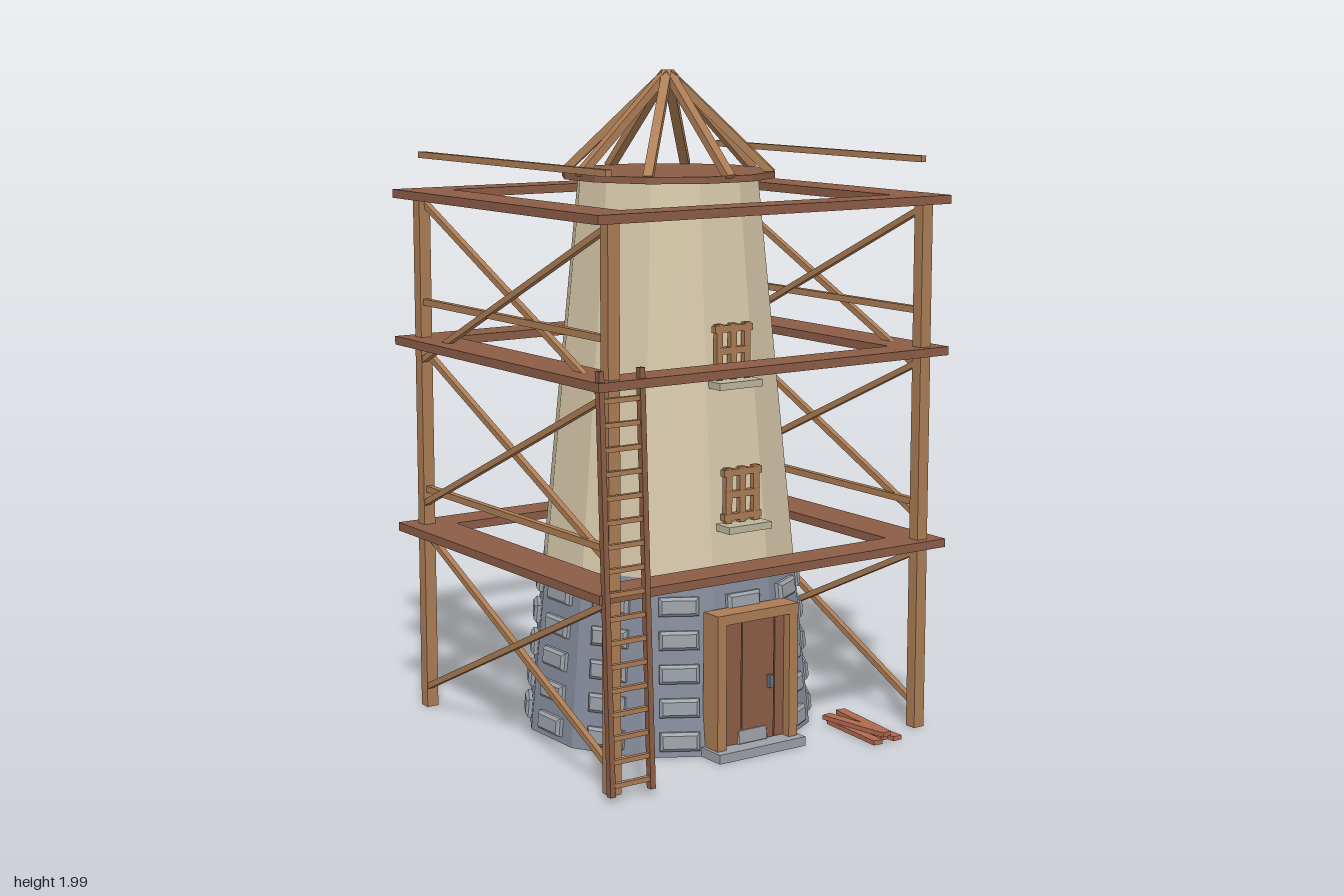
import * as THREE from 'three';

const mat = (name, color, extra = {}) => {
  const m = new THREE.MeshStandardMaterial({ color, ...extra });
  m.name = name;
  return m;
};

export function createModel() {
  const model = new THREE.Group();
  model.name = 'towerWithScaffold';

  const cream = mat('creamPlaster', 0xd5c7a8, { side: THREE.DoubleSide });
  const slate = mat('slateWall', 0x858c9c, { side: THREE.DoubleSide });
  const stone = mat('paleStone', 0x9a9fa6);
  const brown = mat('brownPlank', 0x8a5c45);
  const tan = mat('tanTimber', 0xab7c54);
  const red = mat('redPlank', 0xb0694e);
  const sillMat = mat('sillStone', 0xbcb59c);
  const iron = mat('iron', 0x6c727c);

  const add = (parent, name, geo, material, x = 0, y = 0, z = 0) => {
    const mesh = new THREE.Mesh(geo, material);
    mesh.name = name;
    mesh.position.set(x, y, z);
    parent.add(mesh);
    return mesh;
  };
  // Box given by its limits on each axis
  const block = (parent, name, material, x0, x1, y0, y1, z0, z1) =>
    add(parent, name, new THREE.BoxGeometry(x1 - x0, y1 - y0, z1 - z0), material,
      (x0 + x1) / 2, (y0 + y1) / 2, (z0 + z1) / 2);
  // Square timber running between two points
  const beam = (parent, name, material, a, b, w, h = w) => {
    const p = new THREE.Vector3(...a), q = new THREE.Vector3(...b);
    const mesh = new THREE.Mesh(new THREE.BoxGeometry(w, h, p.distanceTo(q)), material);
    mesh.name = name;
    mesh.position.copy(p).lerp(q, 0.5);
    mesh.lookAt(q);
    parent.add(mesh);
    return mesh;
  };
  const group = (name, parent = model) => {
    const g = new THREE.Group();
    g.name = name;
    parent.add(g);
    return g;
  };

  // Twelve-sided tapering tower
  const SIDES = 12, APOTHEM = Math.cos(Math.PI / SIDES);
  const radius = (y) => 0.443 - 0.1 * y;
  const tower = group('tower');
  tower.position.z = -0.025;
  const prism = (name, material, r1, r0, y0, y1, open) => {
    const geo = new THREE.CylinderGeometry(r1, r0, y1 - y0, SIDES, 1, open, Math.PI / SIDES).toNonIndexed();
    geo.computeVertexNormals();
    return add(tower, name, geo, material, 0, (y0 + y1) / 2, 0);
  };
  prism('stoneBase', slate, radius(0.53), radius(0), 0, 0.53, true);
  prism('plasterWall', cream, radius(1.68), radius(0.53), 0.53, 1.68, true);
  prism('roofDeck', brown, 0.325, 0.325, 1.675, 1.695, false);

  // Roof rafters meeting at the peak
  for (let i = 0; i < 8; i++) {
    const a = (i * Math.PI) / 4, s = Math.sin(a), c = Math.cos(a);
    beam(tower, 'rafter', tan, [0.316 * s, 1.69, 0.316 * c], [0.005 * s, 1.985, 0.005 * c], 0.028, 0.024);
  }

  // Bevelled blocks, five rows on every side of the base
  const w = 0.05, h = 0.019;
  const outline = new THREE.Shape([[-w, -h], [w, -h], [w, h], [-w, h]].map((p) => new THREE.Vector2(...p)));
  const stoneGeo = new THREE.ExtrudeGeometry(outline, {
    depth: 0.03, bevelEnabled: true, bevelThickness: 0.009, bevelSize: 0.009, bevelSegments: 1,
  });
  stoneGeo.translate(0, 0, -0.019);
  for (let side = 0; side < SIDES; side++) {
    const column = group('stoneColumn', tower);
    column.rotation.y = (side * 2 * Math.PI) / SIDES;
    for (let row = 0; row < 5; row++) {
      const y = 0.047 + row * 0.0995;
      add(column, 'wallStone', stoneGeo, stone, 0, y, radius(y) * APOTHEM)
        .rotation.x = -Math.atan(0.1 * APOTHEM);
    }
  }

  // Door with frame, planks, handle and step
  const door = group('door');
  block(door, 'doorLeaf', brown, -0.118, 0.118, 0.02, 0.41, 0.365, 0.408);
  for (const [x0, x1] of [[-0.116, -0.042], [-0.038, 0.078], [0.082, 0.116]])
    block(door, 'doorPlank', brown, x0, x1, 0.03, 0.405, 0.4, 0.415);
  for (const s of [-1, 1]) block(door, 'doorJamb', tan, s * 0.131 - 0.016, s * 0.131 + 0.016, 0.02, 0.435, 0.37, 0.443);
  block(door, 'doorLintel', tan, -0.115, 0.115, 0.405, 0.435, 0.37, 0.443);
  block(door, 'doorHandle', iron, 0.054, 0.066, 0.185, 0.225, 0.412, 0.43);
  block(door, 'doorStep', stone, -0.158, 0.158, 0, 0.028, 0.37, 0.47);

  // Two windows, each a lattice over a sill
  for (const [y, z] of [[0.695, 0.354], [1.113, 0.306]]) {
    const win = group('window');
    win.position.set(0, y, z);
    for (const x of [-0.05, 0, 0.05])
      block(win, 'windowUpright', tan, x - 0.011, x + 0.011, -0.01, 0.155, -0.009, 0.009);
    for (const [ry, half] of [[0.008, 0.068], [0.075, 0.06], [0.14, 0.068]])
      block(win, 'windowRail', tan, -half, half, ry - 0.01, ry + 0.01, -0.01, 0.01);
    block(win, 'windowSill', sillMat, -0.078, 0.078, -0.033, -0.012, -0.03, 0.048);
  }

  // Scaffold: square ring platforms
  const scaffold = group('scaffold');
  const ring = new THREE.Shape([[-0.625, -0.55], [0.625, -0.55], [0.625, 0.6], [-0.625, 0.6]]
    .map((p) => new THREE.Vector2(...p)));
  ring.holes.push(new THREE.Path([[-0.482, -0.44], [-0.482, 0.487], [0.482, 0.487], [0.482, -0.44]]
    .map((p) => new THREE.Vector2(...p))));
  const ringGeo = new THREE.ExtrudeGeometry(ring, { depth: 0.026, bevelEnabled: false });
  ringGeo.rotateX(-Math.PI / 2);
  for (const y of [0.562, 1.15, 1.603]) add(scaffold, 'platform', ringGeo, brown, 0, y, 0);

  // Posts, cross braces, rails and loose top beams on both sides
  const FRONT = 0.504, BACK = -0.541;
  for (const s of [-1, 1]) {
    const x = s * 0.557;
    for (const z of [FRONT, BACK])
      block(scaffold, 'post', tan, x - 0.019, x + 0.019, 0, 1.61, z - 0.019, z + 0.019);
    for (const [lo, hi] of [[0.06, 0.55], [0.65, 1.13], [1.1, 1.59]]) {
      beam(scaffold, 'brace', tan, [x + 0.008, lo, FRONT], [x + 0.008, hi, BACK], 0.018);
      beam(scaffold, 'brace', tan, [x - 0.008, hi, FRONT], [x - 0.008, lo, BACK], 0.018);
    }
    for (const y of [0.7, 1.285]) beam(scaffold, 'rail', tan, [x, y, FRONT], [x, y, BACK], 0.02);
    beam(scaffold, 'topBeam', tan, [x, 1.735, 0.5], [x, 1.735, BACK], 0.019);
  }

  // Leaning ladder
  const ladder = group('ladder');
  const ladderZ = (y) => 0.577 - 0.042 * y;
  for (const x of [-0.607, -0.473])
    beam(ladder, 'ladderStile', brown, [x, 0.02, ladderZ(0.02)], [x, 1.205, ladderZ(1.205)], 0.017, 0.02);
  for (let i = 0; i < 17; i++) {
    const y = 0.05 + i * 0.067;
    beam(ladder, 'ladderRung', tan, [-0.607, y, ladderZ(y)], [-0.473, y, ladderZ(y)], 0.014);
  }

  // Heap of loose planks: x, y, z, turn
  const heap = group('plankHeap');
  for (const [x, y, z, turn] of [
    [0.35, 0.008, 0.465, -0.08], [0.38, 0.008, 0.44, 0.04], [0.412, 0.008, 0.465, 0.02],
    [0.365, 0.023, 0.455, 0.14], [0.4, 0.023, 0.44, -0.12],
  ]) add(heap, 'loosePlank', new THREE.BoxGeometry(0.032, 0.014, 0.25), red, x, y, z).rotation.y = turn;

  return model;
}
